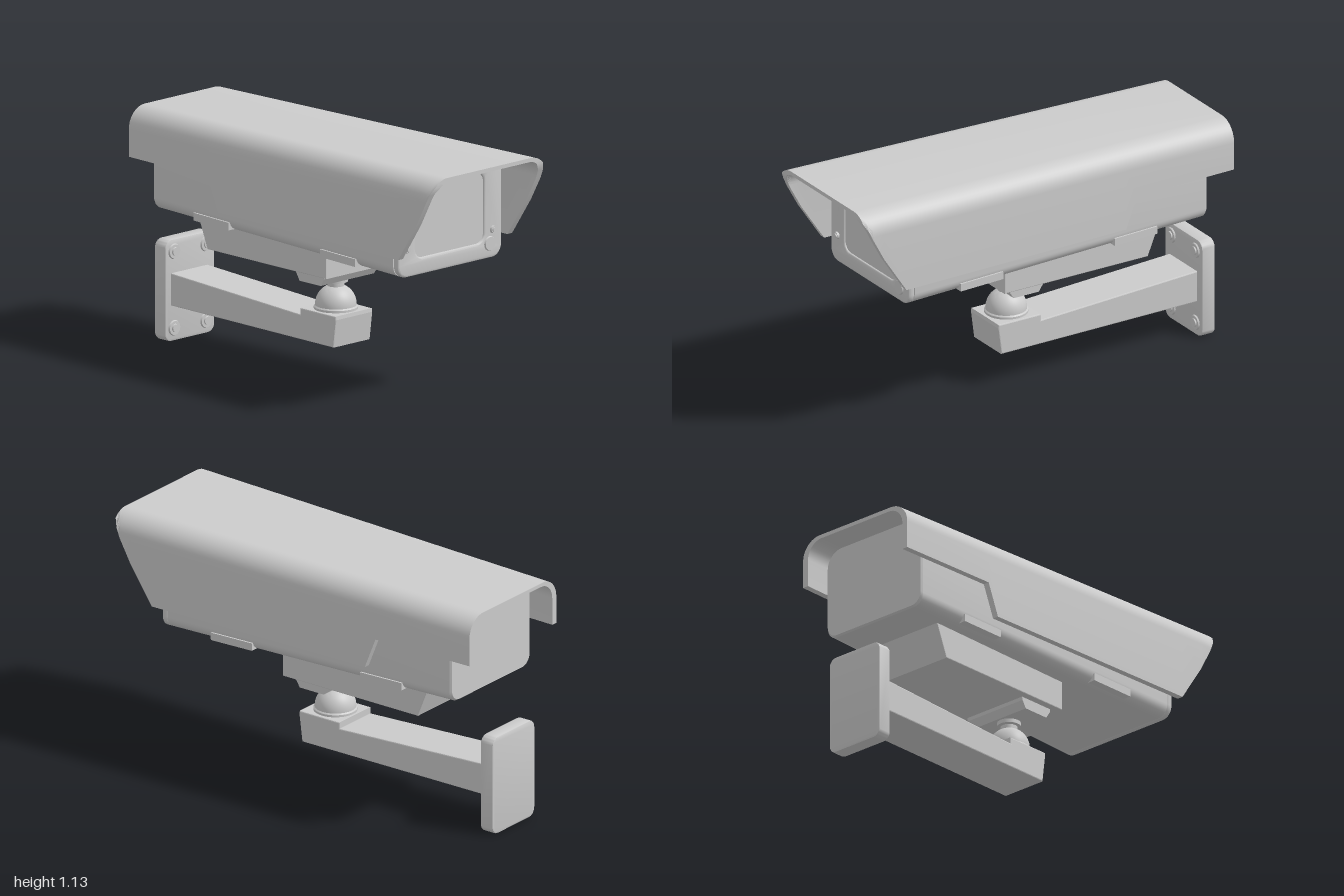
import * as THREE from 'three';
import { toCreasedNormals } from 'three/addons/utils/BufferGeometryUtils.js';

const grey = new THREE.MeshStandardMaterial({ color: 0xcccccc });

// Taper shared by the hood and the housing
const hoodHalf = z => 0.341 + 0.021 * z;
const hoodTop = z => 1.122 + 0.0125 * z;

// Counter-clockwise rounded outline, mirror-symmetric about x = 0
function roundedOutline(hw, y0, y1, rTop, rBot, seg = 8) {
  const pts = [];
  const corners = [[-1, y1 - rTop, rTop, 1], [-1, y0 + rBot, rBot, 2], [1, y0 + rBot, rBot, 3], [1, y1 - rTop, rTop, 0]];
  for (const [s, cy, r, q] of corners) {
    for (let i = 0; i <= seg; i++) {
      const a = (q + i / seg) * Math.PI / 2;
      pts.push(new THREE.Vector2(s * (hw - r) + r * Math.cos(a), cy + r * Math.sin(a)));
    }
  }
  return pts;
}

// Skin closed rings ordered front to back; caps pair point i with its mirror n-1-i
function loft(rings, zs) {
  const n = rings[0].length, pos = [], idx = [];
  rings.forEach((ring, k) => ring.forEach(p => pos.push(p.x, p.y, zs[k])));
  for (let k = 0; k < rings.length - 1; k++) {
    for (let i = 0; i < n; i++) {
      const a = k * n + i, b = k * n + (i + 1) % n;
      idx.push(a, a + n, b, b, a + n, b + n);
    }
  }
  const last = (rings.length - 1) * n;
  for (let i = 0; i < n / 2 - 1; i++) {
    const a = i, b = i + 1, c = n - 2 - i, d = n - 1 - i;
    idx.push(a, b, c, a, c, d);
    idx.push(last + a, last + c, last + b, last + a, last + d, last + c);
  }
  const g = new THREE.BufferGeometry();
  g.setAttribute('position', new THREE.Float32BufferAttribute(pos, 3));
  g.setIndex(idx);
  return toCreasedNormals(g, 0.5);
}

// Hood cross-section: a U-shaped shell cut off at height yb
function hoodRing(z, yb) {
  const top = hoodTop(z), cy = top - 0.1, seg = 10;
  const arch = (hw, r) => {
    const a0 = Math.asin(Math.min(1, Math.max(0, (yb - cy) / r)));
    const right = [new THREE.Vector2(hw - r + r * Math.cos(a0), Math.min(yb, cy))];
    if (yb > cy) right[0].y = yb;
    for (let i = 0; i <= seg; i++) {
      const a = a0 + (Math.PI / 2 - a0) * i / seg;
      right.push(new THREE.Vector2(hw - r + r * Math.cos(a), cy + r * Math.sin(a)));
    }
    return [...right, ...right.slice().reverse().map(p => new THREE.Vector2(-p.x, p.y))];
  };
  return [...arch(hoodHalf(z), 0.1), ...arch(hoodHalf(z) - 0.03, 0.082).reverse()];
}

// Side profile given as [z, y], extruded across x
function sideExtrude(points, width, bevel = 0) {
  const g = new THREE.ExtrudeGeometry(new THREE.Shape(points.map(p => new THREE.Vector2(...p))), {
    depth: width - 2 * bevel, bevelEnabled: bevel > 0, bevelSize: bevel, bevelThickness: bevel, bevelOffset: -bevel, bevelSegments: 2,
  });
  return g.translate(0, 0, -width / 2 + bevel).rotateY(-Math.PI / 2);
}

export function createModel() {
  const model = new THREE.Group();
  const add = (name, geo, x = 0, y = 0, z = 0, parent = model) => {
    const m = new THREE.Mesh(geo, grey);
    m.name = name;
    m.position.set(x, y, z);
    parent.add(m);
    return m;
  };

  // Sun hood with raked front and stepped rear edge
  const edge = [[1, 1.1], [0.98, 1.063], [0.96, 1.02], [0.9, 0.91], [0.78, 0.73], [-0.41, 0.73], [-0.47, 0.88], [-0.995, 0.88]];
  add('hood', loft(edge.map(([z, y]) => hoodRing(z, y)), edge.map(e => e[0])));

  // Tapered housing
  const bottom = z => 0.64 - 0.0173 * z;
  const outline = (z, inset = 0) => roundedOutline(hoodHalf(z) - 0.031 - inset, bottom(z) + inset, hoodTop(z) - 0.022 - inset, 0.085, 0.055);
  const bodyZ = [0.715, -0.86, -0.87];
  add('housing', loft(bodyZ.map((z, i) => outline(z, i === 2 ? 0.006 : 0)), bodyZ));

  // Front bezel around the recessed window
  const windowOutline = roundedOutline(0.215, 0.705, 1.033, 0.045, 0.045);
  const face = new THREE.Shape(outline(0.74));
  face.holes.push(new THREE.Path(windowOutline.slice().reverse()));
  const bezel = new THREE.ExtrudeGeometry(face, {
    depth: 0.012, bevelSize: 0.01, bevelThickness: 0.01, bevelOffset: -0.01, bevelSegments: 3,
  });
  add('bezel', toCreasedNormals(bezel, 0.6), 0, 0, 0.725);
  add('window', new THREE.ShapeGeometry(new THREE.Shape(roundedOutline(0.23, 0.69, 1.048, 0.05, 0.05))), 0, 0, 0.738);

  // Bezel screws and sensor button
  const disc = (r, h) => new THREE.CylinderGeometry(r * 0.9, r, h, 24).rotateX(Math.PI / 2);
  for (const x of [-0.268, 0.268]) {
    for (const y of [0.757, 1.05]) {
      add('bezelScrew', disc(0.018, 0.014), x, y, 0.75);
      add('screwHead', disc(0.011, 0.008), x, y, 0.758);
    }
  }
  add('sensorButton', disc(0.034, 0.008), 0.248, 0.695, 0.75);

  // Latches along the lower edges of the housing
  for (const s of [-1, 1]) {
    for (const [z, len] of [[0.355, 0.23], [-0.48, 0.23]]) {
      const latch = add('latch', new THREE.BoxGeometry(0.06, 0.036, len), s * (hoodHalf(z) - 0.055), bottom(z) + 0.022, z);
      latch.rotation.set(0.0173, s * 0.021, 0);
    }
  }

  // Pedestal under the housing and its adapter block
  add('pedestal', sideExtrude([[0.155, 0.66], [-0.675, 0.66], [-0.61, 0.5], [0.155, 0.5]], 0.405, 0.004));
  add('adapterBlock', sideExtrude([[0.11, 0.502], [-0.075, 0.502], [-0.072, 0.485], [-0.05, 0.45], [0.085, 0.45], [0.108, 0.485]], 0.336));

  // Ball joint
  const joint = [[0, 0.452], [0.054, 0.452], [0.054, 0.432], [0.038, 0.43], [0.038, 0.41]].reverse();
  const profile = [[0.1, 0.3], [0.1, 0.317], [0.094, 0.323]];
  for (let i = 0; i <= 10; i++) {
    const a = i / 10 * 1.17;
    profile.push([0.094 * Math.cos(a), 0.326 + 0.094 * Math.sin(a)]);
  }
  profile.push(...joint);
  const ball = new THREE.LatheGeometry(profile.map(p => new THREE.Vector2(...p)), 40);
  add('ballJoint', toCreasedNormals(ball, 0.5), -0.004, 0, 0.015);

  // Arm with raised head
  add('arm', sideExtrude([[0.115, 0.16], [0.132, 0.29], [0.13, 0.307], [-0.097, 0.307], [-0.097, 0.277], [-0.94, 0.316], [-0.94, 0.165]], 0.232, 0.005), -0.003);

  // Wall plate with bolts
  const plate = new THREE.ExtrudeGeometry(new THREE.Shape(roundedOutline(0.155, 0, 0.47, 0.04, 0.04)), {
    depth: 0.058, bevelSize: 0.006, bevelThickness: 0.006, bevelOffset: -0.006, bevelSegments: 2,
  });
  add('wallPlate', toCreasedNormals(plate, 0.6), 0, 0, -0.994);
  for (const x of [-0.1, 0.1]) {
    for (const y of [0.06, 0.415]) {
      add('boltWasher', disc(0.036, 0.008), x, y, -0.927);
      add('boltHead', disc(0.02, 0.008), x, y, -0.921);
    }
  }
  return model;
}
